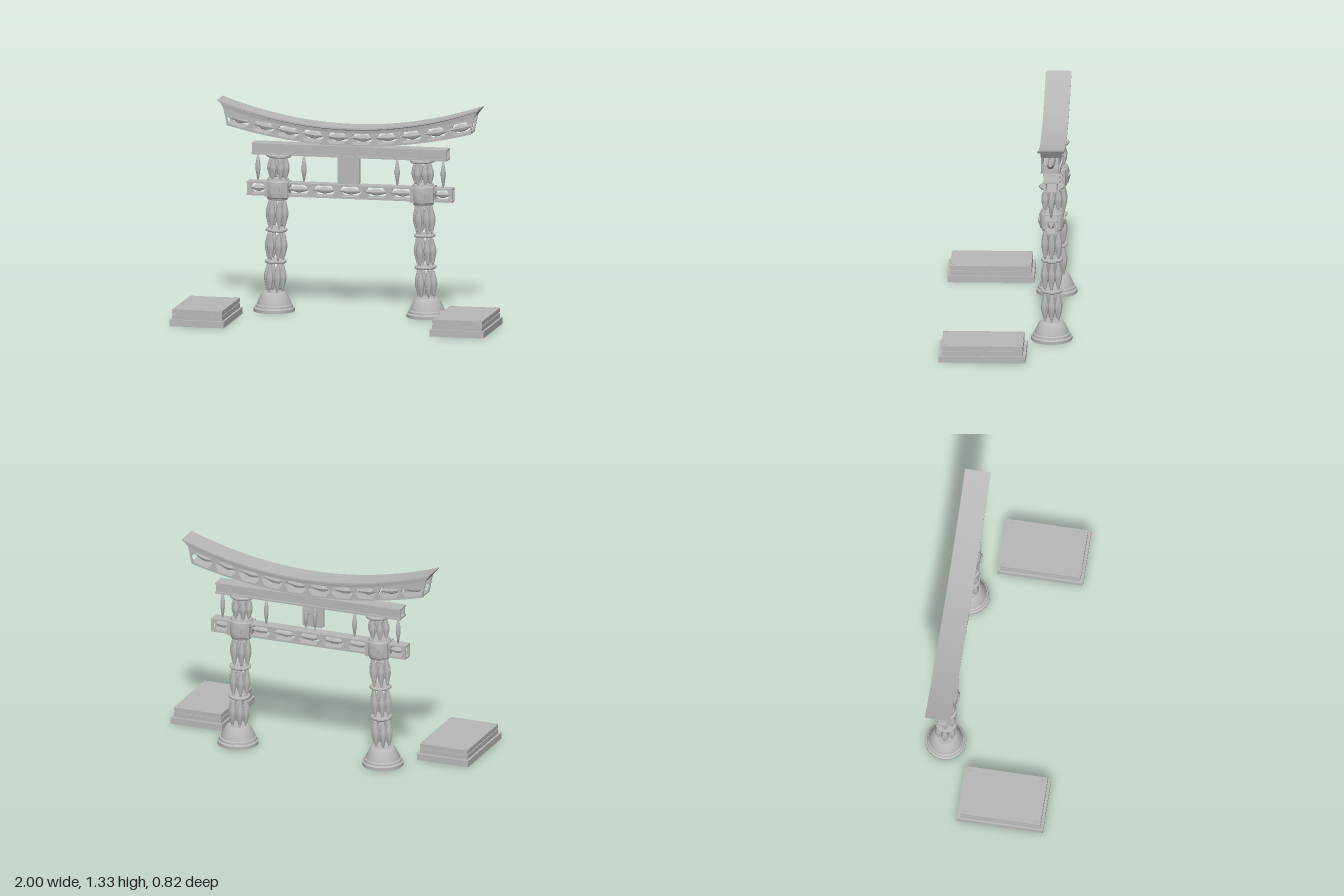
import * as THREE from 'three';
import { toCreasedNormals } from 'three/addons/utils/BufferGeometryUtils.js';

const CZ = -0.28; // depth of the gate's centre plane
const stone = new THREE.MeshStandardMaterial({ color: 0xb8b8b8 });
stone.name = 'stone grey';

function add(parent, name, geometry, x = 0, y = 0, z = 0) {
  const m = new THREE.Mesh(geometry, stone);
  m.name = name;
  m.position.set(x, y, z);
  parent.add(m);
  return m;
}
const box = (w, h, d) => new THREE.BoxGeometry(w, h, d);
const lathe = (pts, seg) =>
  toCreasedNormals(new THREE.LatheGeometry(pts.map(p => new THREE.Vector2(p[0], p[1])), seg), 0.6);

// Faceted spindle along y, centred: straight tapers from a short belly to thin pins
function spindle(len, r) {
  const h = len / 2, pin = r * 0.25;
  return lathe([[0, -h], [pin, -h], [pin, -h * 0.85], [r * 0.36, -h * 0.83], [r, -h * 0.16],
    [r, h * 0.16], [r * 0.36, h * 0.83], [pin, h * 0.85], [pin, h], [0, h]], 8);
}

// Rounded flat ring
const disc = (r, t) => lathe([[0, -t / 2], [r * 0.93, -t / 2], [r, -t * 0.25], [r, t * 0.25],
  [r * 0.93, t / 2], [0, t / 2]], 20);

// Solid swept along x; section(u) gives a loop of [x, y, z], u from -1 to 1
function sweep(section, steps = 32) {
  const pos = [], idx = [], n = section(0).length;
  for (let i = 0; i <= steps; i++) for (const p of section(i / steps * 2 - 1)) pos.push(...p);
  for (let i = 0; i < steps; i++) for (let j = 0; j < n; j++) {
    const a = i * n + j, b = i * n + (j + 1) % n;
    idx.push(a, b, a + n, b, b + n, a + n);
  }
  const e = steps * n;
  for (let j = 1; j < n - 1; j++) idx.push(0, j + 1, j, e, e + j, e + j + 1);
  const g = new THREE.BufferGeometry();
  g.setAttribute('position', new THREE.Float32BufferAttribute(pos, 3));
  g.setIndex(idx);
  return toCreasedNormals(g, 0.5);
}

// Elongated hexagonal opening, tilted by an angle
function hexHole(cx, cy, hl, hh, angle = 0) {
  const c = Math.cos(angle), s = Math.sin(angle);
  const pts = [[-1, 0], [-0.65, -1], [0.65, -1], [1, 0], [0.65, 1], [-0.65, 1]];
  return new THREE.Path(pts.map(([a, b]) =>
    new THREE.Vector2(cx + a * hl * c - b * hh * s, cy + a * hl * s + b * hh * c)));
}
function panel(points, holes, t) {
  const shape = new THREE.Shape(points.map(p => new THREE.Vector2(p[0], p[1])));
  shape.holes = holes;
  return new THREE.ExtrudeGeometry(shape, { depth: t, bevelEnabled: false }).translate(0, 0, -t / 2);
}

function buildColumn(s) {
  const g = new THREE.Group();
  g.name = s > 0 ? 'leftColumn' : 'rightColumn';
  g.position.set(s * 0.487, 0, CZ);
  add(g, 'columnBase', lathe([[0, 0], [0.128, 0], [0.128, 0.02], [0.118, 0.027], [0.116, 0.04],
    [0.108, 0.046], [0.104, 0.06], [0.085, 0.1], [0.074, 0.115], [0.066, 0.121], [0, 0.121]], 24));

  // Shaft leans slightly inward
  const shaft = new THREE.Group();
  shaft.name = 'shaft';
  shaft.rotation.z = s * 0.03;
  g.add(shaft);
  for (const [y0, y1] of [[0.118, 0.308], [0.32, 0.508], [0.52, 0.715], [0.83, 0.98]]) {
    const geo = spindle(y1 - y0, 0.0235);
    for (let i = 0; i < 6; i++) {
      const a = i * Math.PI / 3;
      add(shaft, 'columnSpindle', geo, Math.cos(a) * 0.048, (y0 + y1) / 2, Math.sin(a) * 0.048);
    }
  }
  for (const y of [0.314, 0.514]) add(shaft, 'columnRing', disc(0.068, 0.018), 0, y, 0);
  add(shaft, 'capitalRing', disc(0.079, 0.02), 0, 0.985, 0);
  add(shaft, 'collar', lathe([[0, 0.706], [0.062, 0.706], [0.066, 0.718], [0.074, 0.724], [0.078, 0.75],
    [0.078, 0.8], [0.074, 0.822], [0.068, 0.828], [0.066, 0.838], [0, 0.838]], 24));
  add(shaft, 'beamSocket', box(0.148, 0.096, 0.11), 0, 0.774, 0);
  for (const d of [-1, 1]) {
    add(shaft, 'collarBoss', new THREE.CylinderGeometry(0.03, 0.03, 0.02, 8).rotateX(Math.PI / 2), 0, 0.775, d * 0.071);
    add(shaft, 'collarStud', new THREE.CylinderGeometry(0.014, 0.014, 0.008, 8).rotateX(Math.PI / 2), 0, 0.775, d * 0.081);
  }
  return g;
}

function buildLowerBeam() {
  const g = new THREE.Group();
  g.name = 'lowerBeam';
  g.position.z = CZ;
  const L = 0.654, y0 = 0.73, y1 = 0.817, yc = 0.774;
  const xs = [-0.587, -0.33, -0.165, 0, 0.165, 0.33, 0.587];
  const half = x => (Math.abs(x) > 0.5 ? 0.052 : 0.074);
  const side = panel([[-L, y0], [L, y0], [L, y1], [-L, y1]], xs.map(x => hexHole(x, yc, half(x), 0.032)), 0.008);
  for (const d of [-1, 1]) add(g, 'latticeSide', side, 0, 0, d * 0.031);
  for (const y of [y0 + 0.005, y1 - 0.005]) add(g, 'beamFlange', box(L * 2, 0.01, 0.078), 0, y, 0);
  for (const x of xs) add(g, 'beamSpindle', spindle(half(x) * 2, 0.021).rotateZ(Math.PI / 2), x, yc, 0);
  return g;
}

function buildTieBeam() {
  const g = new THREE.Group();
  g.name = 'upperTieBeam';
  g.position.z = CZ;
  for (const d of [-1, 1]) add(g, 'tieWeb', box(1.24, 0.06, 0.007), 0, 1.027, d * 0.034);
  for (const y of [0.996, 1.057]) add(g, 'tieFlange', box(1.244, 0.01, 0.1), 0, y, 0);
  return g;
}

function buildRoof() {
  const g = new THREE.Group();
  g.name = 'curvedRoof';
  g.position.z = CZ;
  // Upswept cornice: thin overhanging lip above a narrow cove
  add(g, 'cornice', sweep(u => {
    const yt = 1.184 + 0.147 * u * u, yb = 1.15 + 0.129 * u * u;
    const xt = 0.833 * u, xl = 0.828 * u, xc = 0.82 * u, xb = 0.798 * u;
    return [[xb, yb, -0.058], [xc, yt - 0.017, -0.061], [xl, yt - 0.01, -0.08], [xt, yt, -0.08],
      [xt, yt, 0.08], [xl, yt - 0.01, 0.08], [xc, yt - 0.017, 0.061], [xb, yb, 0.058]];
  }));
  const top = u => [0.8 * u, 1.157 + 0.127 * u * u];
  const bottom = u => [0.777 * u, 1.067 + 0.103 * u * u];
  add(g, 'roofSoffit', sweep(u => {
    const [x, y] = bottom(u);
    return [[x, y, -0.059], [x, y + 0.01, -0.059], [x, y + 0.01, 0.059], [x, y, 0.059]];
  }));

  // Pierced sides following the curve, with a spindle in every opening
  const outline = [], holes = [], N = 24;
  for (let i = 0; i <= N; i++) outline.push(bottom(i / N * 2 - 1));
  for (let i = N; i >= 0; i--) outline.push(top(i / N * 2 - 1));
  for (let i = 0; i < 10; i++) {
    const x = (i - 4.5) * 0.157, y = 1.112 + 0.178 * x * x, tilt = Math.atan(0.356 * x);
    holes.push(hexHole(x, y, 0.073, 0.035, tilt));
    add(g, 'roofSpindle', spindle(0.145, 0.024).rotateZ(Math.PI / 2 + tilt), x, y, 0);
  }
  const side = panel(outline, holes, 0.01);
  for (const d of [-1, 1]) add(g, 'roofLattice', side, 0, 0, d * 0.053);
  return g;
}

function buildPlaque() {
  const g = new THREE.Group();
  g.name = 'plaque';
  g.position.set(0, 0.913, CZ + 0.05);
  const w = 0.071, h = 0.087, c = 0.01;
  add(g, 'plaqueBoard', panel([[-w + c, -h], [w - c, -h], [w, -h + c], [w, h - c], [w - c, h],
    [-w + c, h], [-w, h - c], [-w, -h + c]], [], 0.022));
  const cyl = (r, t) => new THREE.CylinderGeometry(r, r, t, 8).rotateX(Math.PI / 2);
  add(g, 'plaqueBoss', cyl(0.032, 0.008), 0, 0, 0.012);
  for (const x of [-1, 1]) {
    for (const y of [-1, 1]) add(g, 'plaqueStud', cyl(0.006, 0.008), x * 0.055, y * 0.07, 0.012);
    add(g, 'plaqueStrut', spindle(0.18, 0.014), x * 0.03, 0, -0.05);
    add(g, 'plaqueBracket', box(0.012, 0.012, 0.05), x * 0.03, 0, -0.03);
  }
  return g;
}

function buildPlinth(s) {
  const g = new THREE.Group();
  g.name = s > 0 ? 'leftPlinth' : 'rightPlinth';
  g.position.set(s * 0.828, 0, 0.137);
  add(g, 'plinthFoot', box(0.344, 0.041, 0.541), 0, 0.0205, 0);
  add(g, 'plinthBody', box(0.318, 0.03, 0.505), 0, 0.055, 0);
  add(g, 'plinthGroove', box(0.308, 0.012, 0.495), 0, 0.073, 0);
  add(g, 'plinthTop', box(0.318, 0.025, 0.505), 0, 0.0905, 0);
  for (const x of [-1, 1]) for (const z of [-1, 1])
    add(g, 'plinthStud', new THREE.CylinderGeometry(0.009, 0.011, 0.007, 8), x * 0.137, 0.105, z * 0.23);
  return g;
}

export function createModel() {
  const model = new THREE.Group();
  model.name = 'shrineGate';
  for (const s of [-1, 1]) {
    model.add(buildColumn(s), buildPlinth(s));
    // Hanging spindles between the beams
    for (const x of [0.297, 0.59]) add(model, 'hangingSpindle', spindle(0.185, 0.016), s * x, 0.904, CZ);
  }
  model.add(buildLowerBeam(), buildTieBeam(), buildRoof(), buildPlaque());
  return model;
}
